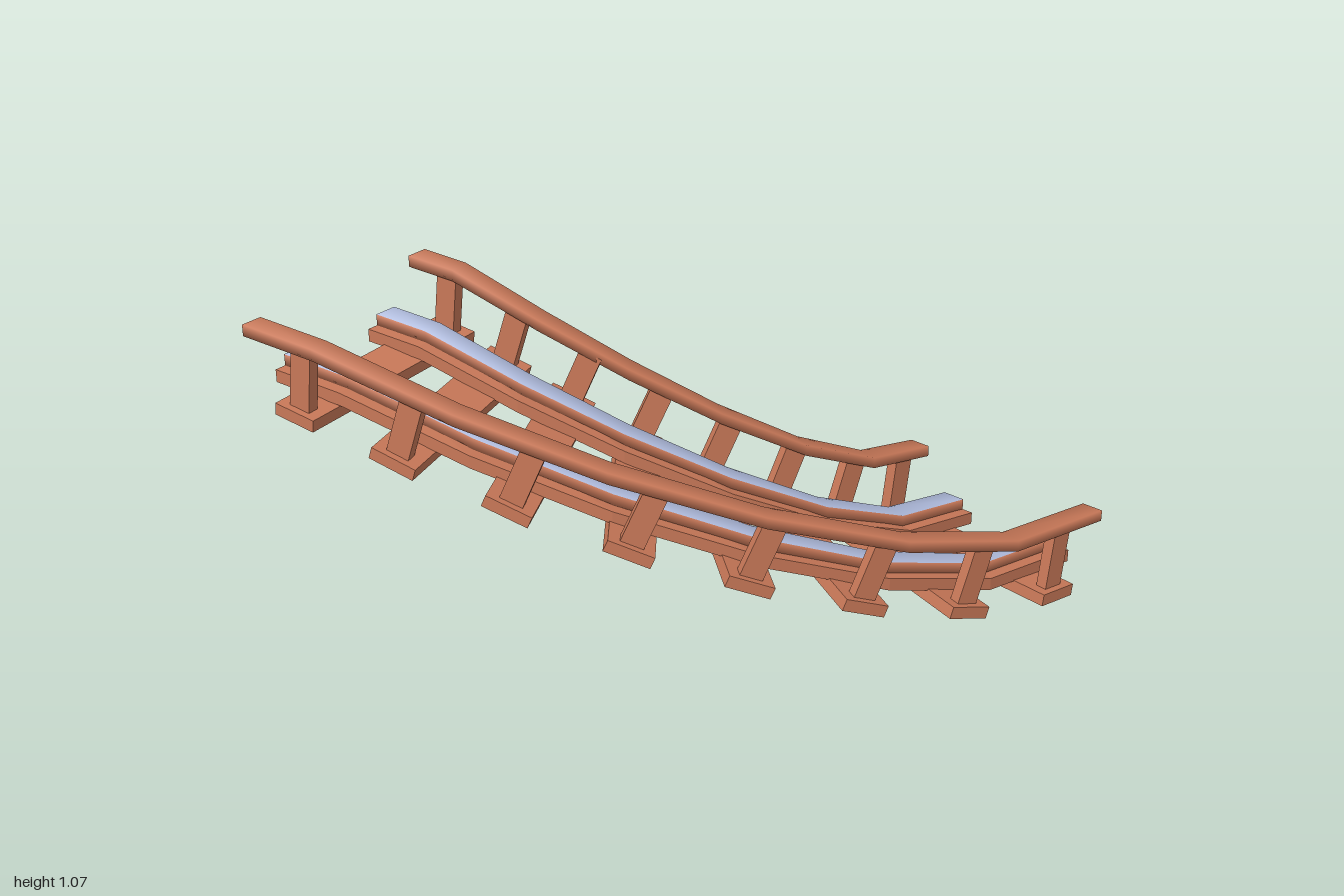
import * as THREE from 'three';

const wood = new THREE.MeshStandardMaterial({ color: 0xc87858 });
wood.name = 'wood';
const steel = new THREE.MeshStandardMaterial({ color: 0xb2bee0 });
steel.name = 'steel';

// Track path around the corner (-1, -1): angle in degrees, rail-top height, radius offset
const PATH = [
  [0, 0.13, 0], [12.5, 0.18, -0.01], [25, 0.295, -0.03], [39, 0.455, -0.048],
  [53.5, 0.63, -0.045], [67.5, 0.795, -0.022], [81.7, 0.92, -0.012], [90, 0.93, 0],
];

function pathAt(angle) {
  let i = 0;
  while (i < PATH.length - 2 && angle > PATH[i + 1][0]) i++;
  const [a, b] = [PATH[i], PATH[i + 1]];
  const f = (angle - a[0]) / (b[0] - a[0]);
  return { y: a[1] + (b[1] - a[1]) * f, offset: a[2] + (b[2] - a[2]) * f };
}

// Sweep a rectangle along the path; y0 and y1 are measured from the rail top
function sweep(name, radius, width, y0, y1, { flat = false, steelTop = false } = {}) {
  const w = width / 2;
  const section = [[-w, y0], [w, y0], [w, y1], [-w, y1]];
  const positions = [];
  for (const [deg, y, offset] of PATH) {
    const t = THREE.MathUtils.degToRad(deg);
    for (const [dr, dy] of section) {
      const r = radius + offset + dr;
      positions.push(-1 + r * Math.cos(t), y + dy, -1 + r * Math.sin(t));
    }
  }
  const index = [];
  const n = PATH.length;
  let geometry = new THREE.BufferGeometry();
  for (let k = 0; k < 4; k++) {
    const start = index.length;
    for (let i = 0; i < n - 1; i++) {
      const a = i * 4 + k, b = i * 4 + (k + 1) % 4;
      index.push(a, b, b + 4, a, b + 4, a + 4);
    }
    geometry.addGroup(start, index.length - start, steelTop && k === 2 ? 1 : 0);
  }
  // End caps use their own corners so that they stay flat
  const start = index.length;
  const first = positions.slice(0, 12), last = positions.slice(-12);
  positions.push(...first, ...last);
  const s = n * 4, e = s + 4;
  index.push(s, s + 2, s + 1, s, s + 3, s + 2, e, e + 1, e + 2, e, e + 2, e + 3);
  geometry.addGroup(start, 12, 0);
  geometry.setAttribute('position', new THREE.Float32BufferAttribute(positions, 3));
  geometry.setIndex(index);
  if (flat) geometry = geometry.toNonIndexed();
  geometry.computeVertexNormals();
  const mesh = new THREE.Mesh(geometry, [wood, steel]);
  mesh.name = name;
  return mesh;
}

function box(name, w, h, d, x, y) {
  const mesh = new THREE.Mesh(new THREE.BoxGeometry(w, h, d), wood);
  mesh.name = name;
  mesh.position.set(x, y, 0);
  return mesh;
}

// One cross tie with its two handrail posts, pitched to follow the slope
function makeTie(angle) {
  const t = THREE.MathUtils.degToRad(angle);
  const c = Math.cos(t), s = Math.sin(t);
  const { y, offset } = pathAt(angle);
  const rise = pathAt(Math.min(angle + 5, 90)).y - pathAt(Math.max(angle - 5, 0)).y;
  const run = THREE.MathUtils.degToRad(Math.min(angle + 5, 90) - Math.max(angle - 5, 0)) * 1.6;
  const pitch = Math.atan2(rise, run);
  const cp = Math.cos(pitch);

  const forward = new THREE.Vector3(-s * cp, Math.sin(pitch), c * cp);
  const out = new THREE.Vector3(c, 0, s);
  const up = new THREE.Vector3().crossVectors(forward, out);
  const group = new THREE.Group();
  group.name = 'tieWithPosts';
  group.quaternion.setFromRotationMatrix(new THREE.Matrix4().makeBasis(out, up, forward));
  const r = 1.595 + offset;
  group.position.set(-1 + r * c, y, -1 + r * s);

  const top = -0.083 * cp;
  const postTop = 0.13 * cp;
  group.add(box('tie', 0.8, 0.042, 0.16, 0, top - 0.021));
  for (const side of [-1, 1]) {
    group.add(box('handrailPost', 0.04, postTop - top, 0.08, side * 0.355, (postTop + top) / 2));
  }
  return group;
}

export function createModel() {
  const model = new THREE.Group();
  model.name = 'curvedTrack';
  for (const [side, rail, hand] of [['inner', 1.395, 1.238], ['outer', 1.797, 1.955]]) {
    model.add(sweep(side + 'Beam', rail, 0.16, -0.085, -0.04, { flat: true }));
    model.add(sweep(side + 'Rail', rail, 0.08, -0.04, 0, { steelTop: true }));
    model.add(sweep(side + 'Handrail', hand, 0.075, 0.12, 0.16));
  }
  for (let i = 0; i < 8; i++) model.add(makeTie(6 + (i * 78) / 7));
  return model;
}
